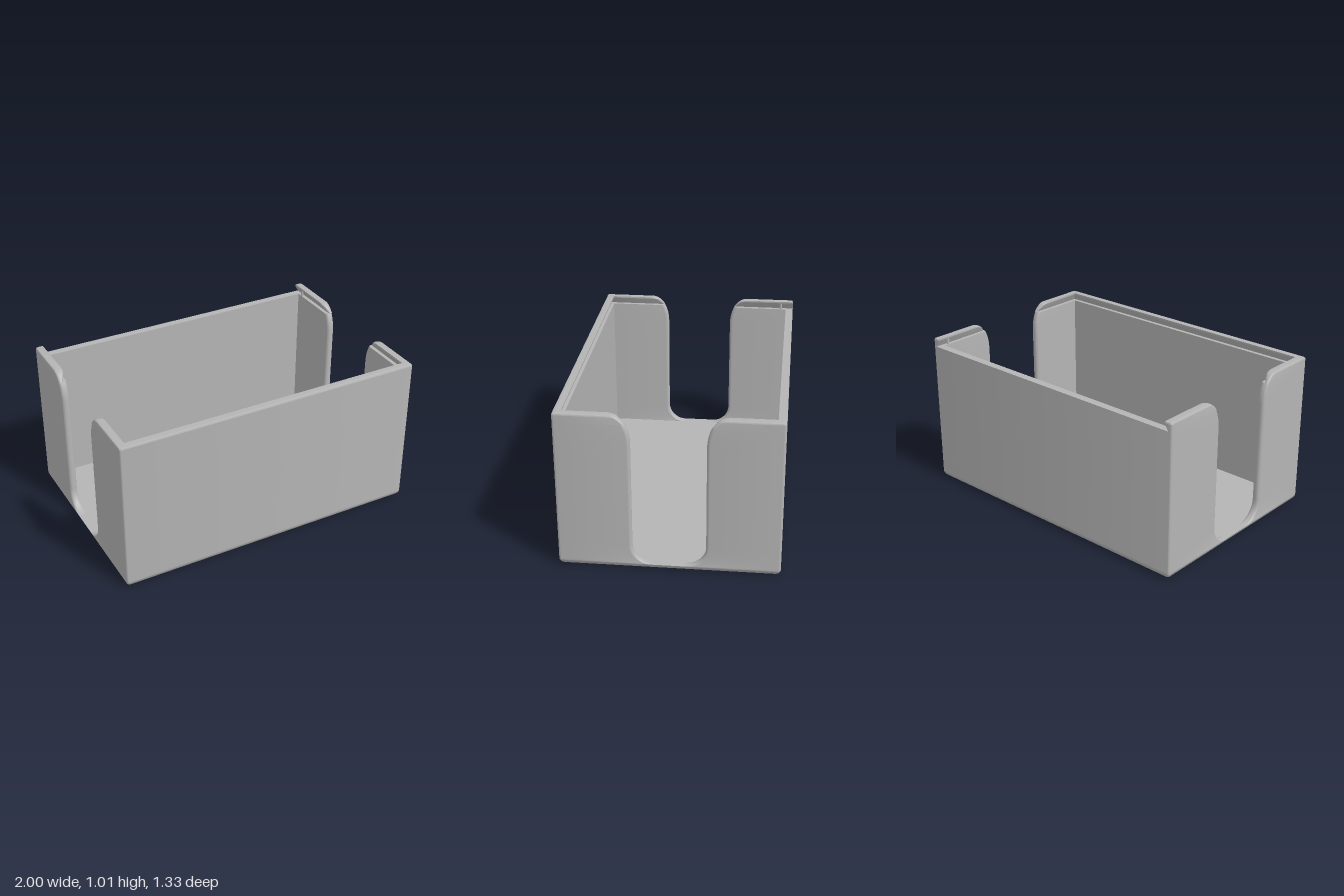
import * as THREE from 'three';
import { toCreasedNormals } from 'three/addons/utils/BufferGeometryUtils.js';

const HALF_W = 1, HALF_D = 0.665, TOP = 1.01;
const WALL = 0.05, FLOOR = 0.036, GROOVE = 0.955;
const BOTTOM_R = 0.045, CORNER = 0.015;

// Points along an arc as [x, z] pairs
function arc(cx, cz, r, from, to, n = 5) {
  return Array.from({ length: n + 1 }, (_, i) => {
    const a = from + ((to - from) * i) / n;
    return [cx + r * Math.cos(a), cz + r * Math.sin(a)];
  });
}

// Solid through stacked horizontal rings [{ y, points }], capped at both ends
function loft(rings) {
  const positions = [], indices = [];
  const flip = THREE.ShapeUtils.area(rings[0].points.map(([x, z]) => new THREE.Vector2(x, -z))) < 0;
  const loops = rings.map(({ points }) => (flip ? [...points].reverse() : points));
  const n = loops[0].length;
  loops.forEach((loop, i) => loop.forEach(([x, z]) => positions.push(x, rings[i].y, z)));
  for (let i = 0; i < loops.length - 1; i++) {
    for (let j = 0; j < n; j++) {
      const a = i * n + j, b = i * n + ((j + 1) % n);
      indices.push(a, b, b + n, a, b + n, a + n);
    }
  }
  const cap = (i, up) => {
    const contour = loops[i].map(([x, z]) => new THREE.Vector2(x, -z));
    for (const [a, b, c] of THREE.ShapeUtils.triangulateShape(contour, [])) {
      const f = up ? [a, b, c] : [a, c, b];
      indices.push(...f.map((k) => k + i * n));
    }
  };
  cap(0, false);
  cap(loops.length - 1, true);
  const geo = new THREE.BufferGeometry();
  geo.setAttribute('position', new THREE.Float32BufferAttribute(positions, 3));
  geo.setIndex(indices);
  return toCreasedNormals(geo, 0.6);
}

// Inset of the outer faces: rounded underside and softened rim
function outerInset(y) {
  if (y < BOTTOM_R) return BOTTOM_R - Math.sqrt(BOTTOM_R ** 2 - (BOTTOM_R - y) ** 2);
  const k = Math.max(0, y - (TOP - 0.01));
  return 0.01 - Math.sqrt(Math.max(0, 0.0001 - k * k));
}

// Half width of the hand cutout at height y
function cutout(y) {
  if (y < FLOOR + 0.13) {
    const k = 1 - (y - FLOOR) / 0.13;
    return 0.09 + 0.13 * Math.sqrt(Math.max(0, 1 - k * k));
  }
  const k = Math.min(1, Math.max(0, (y - 0.83) / 0.18));
  return 0.22 + 0.11 * (1 - Math.sqrt(1 - k * k));
}

// Right end of a wall section; wraps onto the long wall or ends flush as a rail
function endSection(y, thickness, rail) {
  const o = outerInset(y), e = cutout(y);
  const ox = HALF_W - o, oz = HALF_D - o, ix = HALF_W - thickness;
  const r = Math.min(0.02, (thickness - o) / 2 - 0.001);
  return [
    [ix, rail ? oz : HALF_D - thickness],
    ...arc(ix + r, e + r, r, Math.PI, Math.PI * 1.5),
    ...arc(ox - r, e + r, r, -Math.PI / 2, 0),
    ...arc(ox - CORNER, oz - CORNER, CORNER, 0, Math.PI / 2),
  ];
}

const mirrorX = (pts) => pts.map(([x, z]) => [-x, z]);
const mirrorZ = (pts) => pts.map(([x, z]) => [x, -z]);

export function createModel() {
  const group = new THREE.Group();
  const grey = new THREE.MeshStandardMaterial({ color: 0xb4b4b4 });
  grey.name = 'grey plastic';
  const add = (name, geo) => {
    const mesh = new THREE.Mesh(geo, grey);
    mesh.name = name;
    group.add(mesh);
    return mesh;
  };

  // Heights of the wall sections, following the curves of the cutout
  const lower = [], upper = [];
  for (let i = 0; i <= 9; i++) {
    const a = (i * Math.PI) / 18;
    lower.push(FLOOR + 0.13 * (1 - Math.cos(a)));
    upper.push(0.83 + 0.18 * Math.sin(a));
  }
  const heights = [...lower, ...upper, GROOVE, TOP - 0.01].sort((a, b) => a - b);

  // Plain wall below the groove, dovetail lip above it
  const wallRows = heights.filter((y) => y <= GROOVE).map((y) => ({ y, t: WALL }));
  const lipRows = heights.filter((y) => y >= GROOVE).map((y) => ({
    y, t: 0.025 + 0.025 * Math.min(1, (y - GROOVE) / (TOP - 0.01 - GROOVE)),
  }));

  // Floor with rounded lower edges
  const floorRings = [];
  for (let i = 0; i <= 8; i++) {
    const y = FLOOR * (i / 8) ** 2;
    const o = outerInset(y);
    const x = HALF_W - o - CORNER, z = HALF_D - o - CORNER;
    const points = [[1, 1], [-1, 1], [-1, -1], [1, -1]].flatMap(([sx, sz], q) =>
      arc(sx * x, sz * z, CORNER, (q * Math.PI) / 2, ((q + 1) * Math.PI) / 2));
    floorRings.push({ y, points });
  }
  add('floor', loft(floorRings));

  // Front and back shells, each wrapping round to the side cutouts
  const shellRing = ({ y, t }) => {
    const half = endSection(y, t, false);
    return { y, points: [...half, ...mirrorX(half).reverse()] };
  };
  add('frontShell', loft([...wallRows, ...lipRows].map(shellRing)));
  add('backShell', loft(wallRows.map(shellRing).map(({ y, points }) => ({ y, points: mirrorZ(points) }))));

  // Lid rails, open at the back, with small detent pins
  for (const side of [1, -1]) {
    const name = side > 0 ? 'left' : 'right';
    add(name + 'Rail', loft(lipRows.map(({ y, t }) => {
      const pts = mirrorZ(endSection(y, t, true));
      return { y, points: side > 0 ? pts : mirrorX(pts) };
    })));
    const pin = add(name + 'Detent', new THREE.CylinderGeometry(0.009, 0.009, TOP - GROOVE, 12));
    pin.position.set(side * 0.959, (TOP + GROOVE) / 2, -0.58);
  }
  return group;
}
